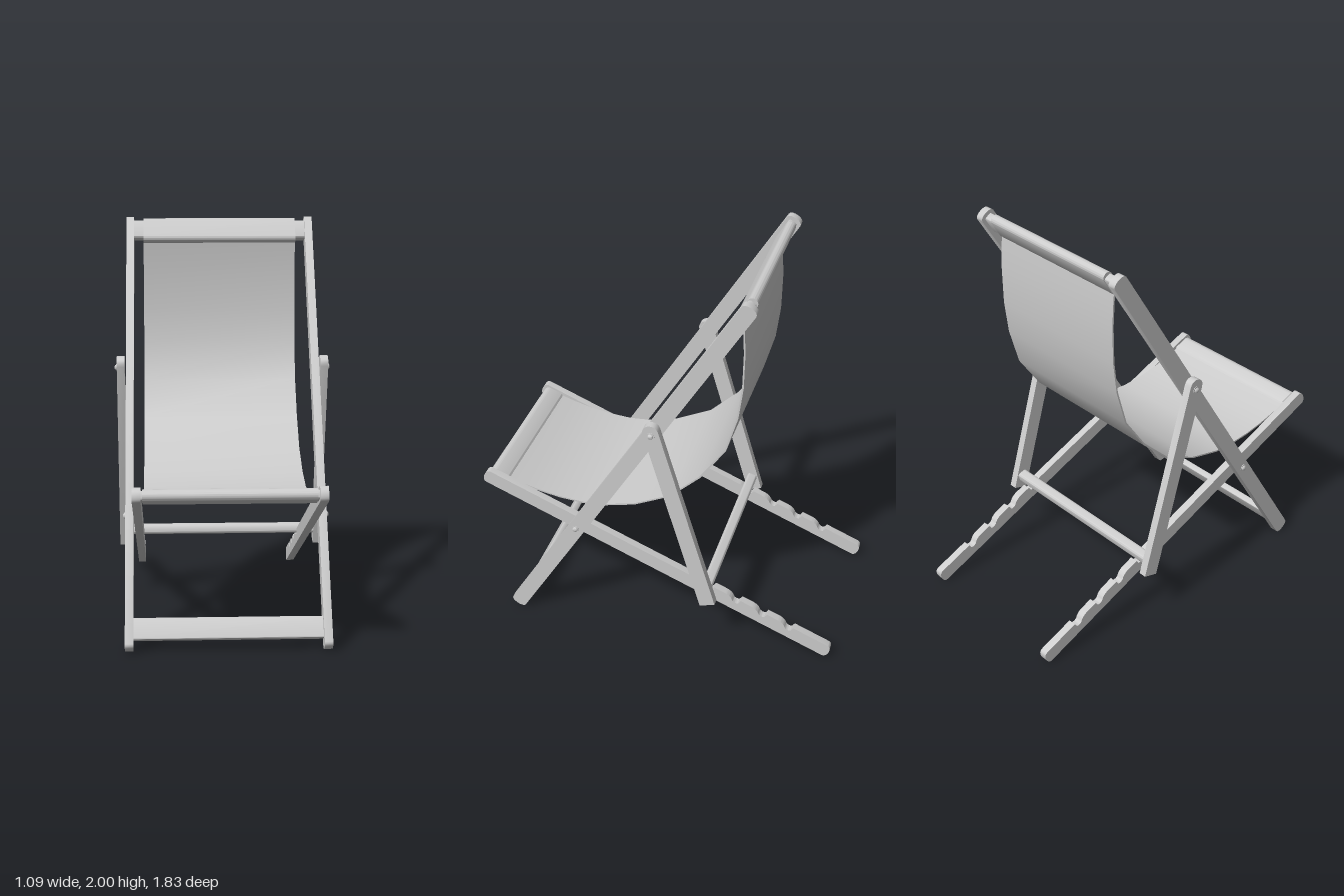
import * as THREE from 'three';
import { toCreasedNormals } from 'three/addons/utils/BufferGeometryUtils.js';

const wood = new THREE.MeshStandardMaterial({ color: 0xcccccc });
const fabric = new THREE.MeshStandardMaterial({ color: 0xcccccc, side: THREE.DoubleSide });

// Plank outline along +u, with rounded ends (e0, e1) and optional notches on the upper edge
function plankProfile(L, w, e0, e1, notches = []) {
  const h = w / 2, s = new THREE.Shape();
  s.moveTo(e0, -h);
  s.lineTo(L - e1, -h);
  if (e1) s.bezierCurveTo(L + e1 / 3, -h, L + e1 / 3, h, L - e1, h);
  else s.lineTo(L, h);
  for (const n of notches) {
    s.lineTo(n + 0.085, h);
    s.quadraticCurveTo(n + 0.05, h, n + 0.03, 0.012);
    s.quadraticCurveTo(n + 0.015, 0.005, n, 0.012);
    s.lineTo(n - 0.006, h);
  }
  s.lineTo(e0, h);
  if (e0) s.bezierCurveTo(-e0 / 3, h, -e0 / 3, -h, e0, -h);
  return s;
}

// Rounded rectangle centred on the origin
function roundedProfile(L, w, r) {
  const a = L / 2, b = w / 2, s = new THREE.Shape();
  s.absarc(a - r, -b + r, r, -Math.PI / 2, 0);
  s.absarc(a - r, b - r, r, 0, Math.PI / 2);
  s.absarc(-a + r, b - r, r, Math.PI / 2, Math.PI);
  s.absarc(-a + r, -b + r, r, Math.PI, Math.PI * 1.5);
  return s;
}

// Extrude a side profile (u = z, v = y) between x0 and x1
function sideExtrude(name, shape, [z, y], angle, x0, x1, material = wood) {
  const g = new THREE.ExtrudeGeometry(shape, { depth: x1 - x0, bevelEnabled: false, curveSegments: 8 });
  g.rotateZ(angle);
  g.translate(z, y, -x1);
  g.rotateY(-Math.PI / 2);
  const mesh = new THREE.Mesh(toCreasedNormals(g, 0.6), material);
  mesh.name = name;
  return mesh;
}

// A matching pair of planks running from a to b (z, y)
function plankPair(name, a, b, w, x0, x1, e0, e1, notches) {
  const dz = b[0] - a[0], dy = b[1] - a[1];
  const shape = plankProfile(Math.hypot(dz, dy), w, e0, e1, notches);
  const angle = Math.atan2(dy, dz);
  return [
    sideExtrude('left' + name, shape, a, angle, x0, x1),
    sideExtrude('right' + name, shape, a, angle, -x1, -x0),
  ];
}

// Washer with a domed head, on both sides
function boltPair(name, [z, y], x) {
  const pts = [[0.02, -0.01], [0.02, 0.003], [0.014, 0.003], [0.013, 0.007], [0.008, 0.011], [0, 0.012]]
    .map(p => new THREE.Vector2(...p));
  return [1, -1].map(s => {
    const g = new THREE.LatheGeometry(pts, 16);
    g.rotateZ(-s * Math.PI / 2);
    g.translate(s * x, y, z);
    const mesh = new THREE.Mesh(toCreasedNormals(g, 0.6), wood);
    mesh.name = (s > 0 ? 'left' : 'right') + name;
    return mesh;
  });
}

// Thin closed ribbon around a path
function ribbonProfile(path, t) {
  const side = d => path.map((p, i) => {
    const a = path[Math.max(i - 1, 0)], b = path[Math.min(i + 1, path.length - 1)];
    const dz = b[0] - a[0], dy = b[1] - a[1], l = Math.hypot(dz, dy);
    return new THREE.Vector2(p[0] - dy / l * d, p[1] + dz / l * d);
  });
  return new THREE.Shape([...side(-t / 2), ...side(t / 2).reverse()]);
}

export function createModel() {
  const chair = new THREE.Group();
  chair.name = 'deckChair';

  // Back frame, notched seat frame and support struts
  const backFoot = [0.766, 0.014], backTop = [-0.46, 1.99];
  const seatRear = [-0.905, 0.036], seatFront = [0.912, 0.795];
  const backAngle = Math.atan2(backTop[1] - backFoot[1], backTop[0] - backFoot[0]);
  const seatAngle = Math.atan2(seatFront[1] - seatRear[1], seatFront[0] - seatRear[0]);
  const notches = [3, 2, 1, 0].map(k => 0.225 + 0.15 * k);
  chair.add(...plankPair('BackRail', backFoot, backTop, 0.08, 0.449, 0.489, 0.022, 0.022));
  chair.add(...plankPair('SeatRail', seatRear, seatFront, 0.073, 0.407, 0.447, 0.022, 0.022, notches));
  chair.add(...plankPair('Strut', [-0.287, 0.28], [0.012, 1.31], 0.08, 0.495, 0.535, 0, 0.04));

  // Crossbars
  chair.add(sideExtrude('footBar', roundedProfile(0.105, 0.035, 0.006), [0.71, 0.1], backAngle, -0.455, 0.455));
  chair.add(sideExtrude('strutBar', roundedProfile(0.055, 0.055, 0.014), [-0.268, 0.35], 0.28, -0.5, 0.5));
  chair.add(sideExtrude('topBar', roundedProfile(0.105, 0.045, 0.012), [-0.42, 1.928], backAngle, -0.455, 0.455));
  chair.add(sideExtrude('frontBar', roundedProfile(0.09, 0.045, 0.012), [0.845, 0.768], seatAngle, -0.415, 0.415));

  // Fabric sling with its sleeves around the top and front bars
  chair.add(sideExtrude('topSleeve', roundedProfile(0.14, 0.052, 0.0255), [-0.42, 1.928], backAngle, -0.4, 0.4, fabric));
  chair.add(sideExtrude('frontSleeve', roundedProfile(0.115, 0.06, 0.0295), [0.845, 0.768], seatAngle, -0.4, 0.4, fabric));
  const sling = [
    [-0.402, 1.89], [-0.407, 1.83], [-0.414, 1.7], [-0.41, 1.51], [-0.388, 1.34], [-0.332, 1.146],
    [-0.207, 0.965], [-0.055, 0.822], [0.13, 0.735], [0.3, 0.695], [0.4, 0.689], [0.53, 0.7],
    [0.63, 0.718], [0.72, 0.742], [0.81, 0.772],
  ];
  chair.add(sideExtrude('sling', ribbonProfile(sling, 0.008), [0, 0], 0, -0.4, 0.4, fabric));

  // Pivot bolts
  chair.add(...boltPair('StrutBolt', [0, 1.255], 0.535));
  chair.add(...boltPair('FrameBolt', [0.418, 0.582], 0.489));
  return chair;
}
